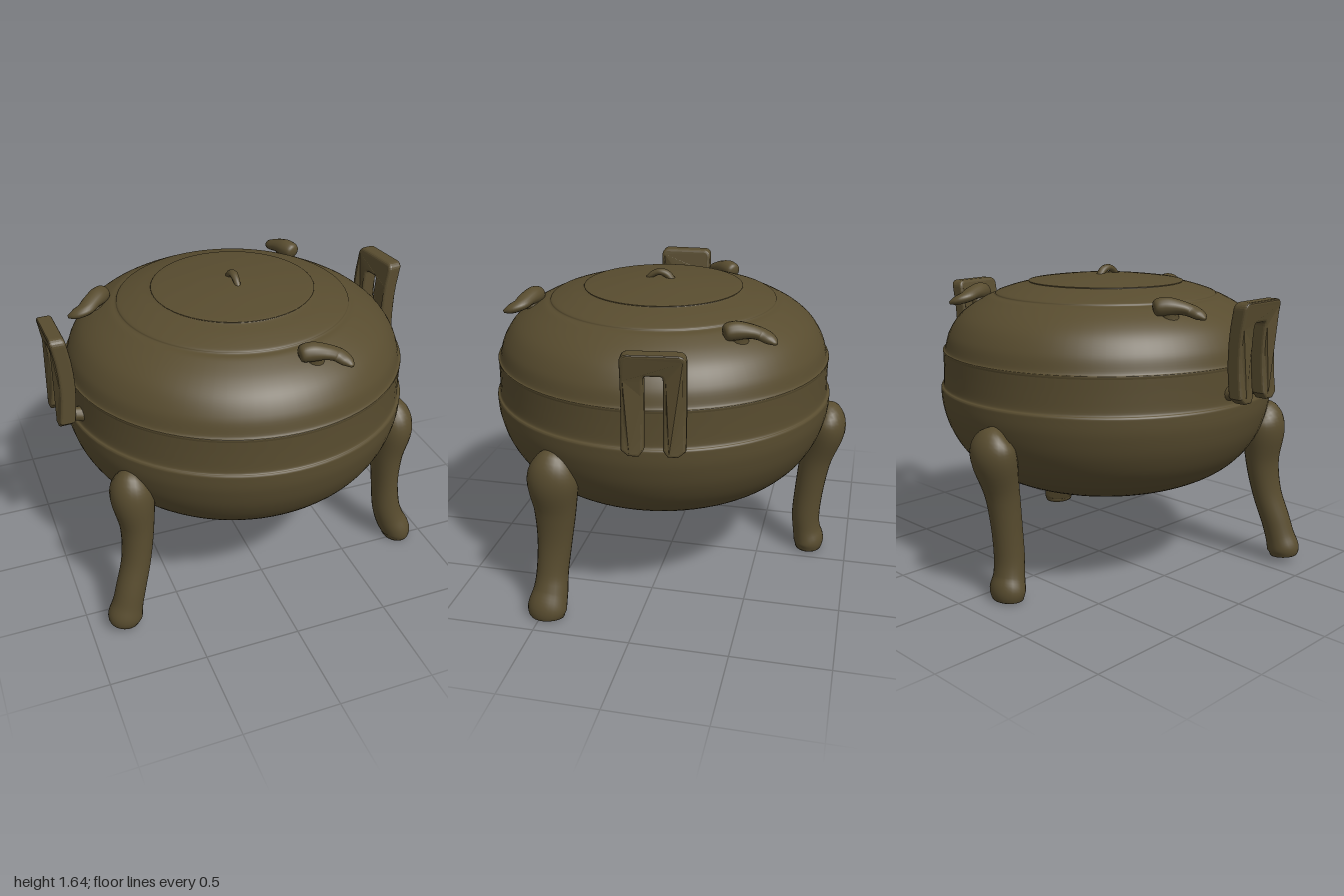
import * as THREE from 'three';

const bronze = new THREE.MeshStandardMaterial({ color: 0x584c2f });
bronze.name = 'aged bronze';

// Smooth limb along rows of [x, y, z, radiusA, radiusB]; radiusA lies along ref
function limb(rows, ref, steps = 40, sides = 24) {
  const curve = (pts) => new THREE.CatmullRomCurve3(pts, false, 'catmullrom', 0.5);
  const path = curve(rows.map((r) => new THREE.Vector3(r[0], r[1], r[2])));
  const size = curve(rows.map((r) => new THREE.Vector3(r[3], r[4], 0)));
  const pos = [], idx = [];
  for (let i = 0; i <= steps; i++) {
    const p = path.getPoint(i / steps), s = size.getPoint(i / steps), t = path.getTangent(i / steps);
    const u = ref.clone().addScaledVector(t, -ref.dot(t)).normalize();
    const v = t.clone().cross(u);
    for (let j = 0; j < sides; j++) {
      const a = (j / sides) * Math.PI * 2;
      const q = p.clone().addScaledVector(u, Math.cos(a) * s.x).addScaledVector(v, Math.sin(a) * s.y);
      pos.push(q.x, q.y, q.z);
      if (i < steps) {
        const k = (j + 1) % sides, A = i * sides + j, B = i * sides + k;
        idx.push(A, B, A + sides, B, B + sides, A + sides);
      }
    }
  }
  // end caps
  const first = rows[0], last = rows[rows.length - 1], c = pos.length / 3, top = steps * sides;
  pos.push(first[0], first[1], first[2], last[0], last[1], last[2]);
  for (let j = 0; j < sides; j++) {
    const k = (j + 1) % sides;
    idx.push(c, k, j, c + 1, top + j, top + k);
  }
  const g = new THREE.BufferGeometry();
  g.setAttribute('position', new THREE.Float32BufferAttribute(pos, 3));
  g.setIndex(idx);
  g.computeVertexNormals();
  return g;
}

function part(name, geometry, parent) {
  const m = new THREE.Mesh(geometry, bronze);
  m.name = name;
  parent.add(m);
  return m;
}

const turned = (pts, segments = 80) => new THREE.LatheGeometry(
  new THREE.SplineCurve(pts.map(([r, y]) => new THREE.Vector2(r, y))).getPoints(pts.length * 5), segments);

// Upside-down U handle, drawn in the XY plane, thickness along Z, gently bowed
function handleGeometry() {
  const s = new THREE.Shape();
  const o = 0.135, i = 0.058, mids = [1.1, 1.17, 1.24, 1.31, 1.38];
  s.moveTo(-o, 1.05);
  s.lineTo(-o + 0.025, 1.03);
  s.lineTo(-i - 0.015, 1.03);
  s.lineTo(-i, 1.05);
  mids.forEach((y) => s.lineTo(-i, y));
  s.quadraticCurveTo(-i, 1.415, -i + 0.03, 1.415);
  s.lineTo(i - 0.03, 1.415);
  s.quadraticCurveTo(i, 1.415, i, 1.38);
  [...mids].reverse().forEach((y) => s.lineTo(i, y));
  s.lineTo(i, 1.05);
  s.lineTo(i + 0.015, 1.03);
  s.lineTo(o - 0.025, 1.03);
  s.lineTo(o, 1.05);
  mids.forEach((y) => s.lineTo(o, y));
  s.lineTo(o, 1.47);
  s.quadraticCurveTo(o, 1.495, o - 0.025, 1.495);
  s.lineTo(-o + 0.025, 1.495);
  s.quadraticCurveTo(-o, 1.495, -o, 1.47);
  [...mids].reverse().forEach((y) => s.lineTo(-o, y));
  s.closePath();
  const g = new THREE.ExtrudeGeometry(s, {
    depth: 0.05, bevelEnabled: true, bevelThickness: 0.014, bevelSize: 0.014, bevelSegments: 3, curveSegments: 6,
  });
  g.translate(0, 0, -0.025);
  const p = g.attributes.position;
  for (let n = 0; n < p.count; n++) {
    const d = (p.getY(n) - 1.24) / 0.26;
    p.setZ(n, p.getZ(n) + 0.03 * d * d - 0.015);
  }
  g.computeVertexNormals();
  return g;
}

export function createModel() {
  const model = new THREE.Group();
  model.name = 'tripodVessel';
  const X = new THREE.Vector3(1, 0, 0), Y = new THREE.Vector3(0, 1, 0);

  // Everything turned shares an axis slightly forward of centre
  const vessel = new THREE.Group();
  vessel.name = 'vessel';
  vessel.position.set(-0.005, 0, 0.045);
  model.add(vessel);

  part('bowl', turned([
    [0, 0.432], [0.25, 0.443], [0.48, 0.485], [0.66, 0.56], [0.78, 0.66], [0.855, 0.78],
    [0.892, 0.9], [0.9, 0.985], [0.897, 1.005], [0.885, 1.02], [0.882, 1.1], [0.882, 1.185],
  ]), vessel);
  part('lid', turned([
    [0.882, 1.185], [0.884, 1.2], [0.872, 1.21], [0.85, 1.285], [0.8, 1.365], [0.73, 1.425], [0.64, 1.475],
    [0.6, 1.488], [0.585, 1.502], [0.5, 1.53], [0.42, 1.55], [0.4, 1.562], [0.2, 1.585], [0, 1.595],
  ]), vessel);

  // Small loop at the middle of the lid
  const knob = part('lidKnob', limb([
    [0, 1.575, -0.05, 0.022, 0.02], [0, 1.61, -0.02, 0.022, 0.02], [0, 1.622, 0.02, 0.022, 0.018],
    [0, 1.605, 0.06, 0.018, 0.016], [0, 1.575, 0.09, 0.014, 0.014],
  ], X, 24, 12), vessel);
  knob.position.z = 0;

  // Three curled ornaments round the lid
  const curl = limb([
    [0.075, 1.485, 0.665, 0.012, 0.012], [0.09, 1.487, 0.667, 0.04, 0.042], [0.14, 1.492, 0.675, 0.046, 0.05],
    [0.2, 1.488, 0.69, 0.036, 0.048], [0.255, 1.472, 0.708, 0.03, 0.045],
    [0.285, 1.455, 0.75, 0.024, 0.036], [0.298, 1.442, 0.785, 0.008, 0.01],
  ], Y, 36, 16);
  const stem = limb([
    [0.165, 1.39, 0.66, 0.06, 0.05], [0.16, 1.44, 0.67, 0.045, 0.036], [0.16, 1.49, 0.68, 0.04, 0.03],
  ], X, 12, 14);
  [0, 122, 239].forEach((deg) => {
    const ornament = new THREE.Group();
    ornament.name = 'lidOrnament';
    ornament.rotation.y = -THREE.MathUtils.degToRad(deg);
    part('ornamentCurl', curl, ornament);
    part('ornamentStem', stem, ornament);
    vessel.add(ornament);
  });

  // Side handles with stubs joining them to the bowl
  const handle = handleGeometry();
  const stub = limb([
    [0, 1.05, -0.1, 0.045, 0.04], [0, 1.06, -0.05, 0.035, 0.035], [0, 1.075, 0.02, 0.03, 0.03],
  ], X, 10, 14);
  [['leftHandle', 0.928, -0.12, Math.PI / 2 + 0.13, 0], ['rightHandle', -0.95, 0.115, -Math.PI / 2 + 0.03, 0.015]]
    .forEach(([name, x, z, turn, lift]) => {
      const g = new THREE.Group();
      g.name = name;
      g.position.set(x, lift, z);
      g.rotation.y = turn;
      part('handleFrame', handle, g);
      [-0.096, 0.096].forEach((dx) => { part('handleStub', stub, g).position.x = dx; });
      model.add(g);
    });

  // Legs, from the foot up to the rounded hip
  part('frontLeftLeg', limb([
    [0.855, 0.005, 0.47, 0.07, 0.09], [0.853, 0.05, 0.47, 0.082, 0.102], [0.815, 0.13, 0.46, 0.08, 0.09],
    [0.785, 0.23, 0.455, 0.076, 0.083], [0.77, 0.4, 0.44, 0.072, 0.09], [0.77, 0.58, 0.43, 0.085, 0.108],
    [0.785, 0.75, 0.43, 0.105, 0.13], [0.775, 0.85, 0.42, 0.085, 0.1], [0.74, 0.91, 0.41, 0.02, 0.03],
  ], X), model);
  part('frontRightLeg', limb([
    [-0.825, 0.038, 0.64, 0.075, 0.07], [-0.82, 0.08, 0.64, 0.09, 0.085], [-0.8, 0.15, 0.632, 0.08, 0.08],
    [-0.775, 0.24, 0.62, 0.077, 0.08], [-0.73, 0.4, 0.59, 0.075, 0.085], [-0.71, 0.58, 0.565, 0.085, 0.1],
    [-0.72, 0.76, 0.55, 0.11, 0.12], [-0.72, 0.85, 0.54, 0.09, 0.1], [-0.7, 0.91, 0.51, 0.02, 0.03],
  ], X), model);
  part('backLeg', limb([
    [-0.13, 0.01, -0.785, 0.09, 0.075], [-0.13, 0.06, -0.785, 0.102, 0.085], [-0.125, 0.13, -0.77, 0.085, 0.078],
    [-0.12, 0.23, -0.762, 0.08, 0.078], [-0.12, 0.4, -0.775, 0.08, 0.08], [-0.12, 0.58, -0.8, 0.092, 0.088],
    [-0.12, 0.76, -0.845, 0.13, 0.105], [-0.12, 0.85, -0.85, 0.11, 0.08], [-0.12, 0.91, -0.815, 0.02, 0.02],
  ], X), model);

  return model;
}
